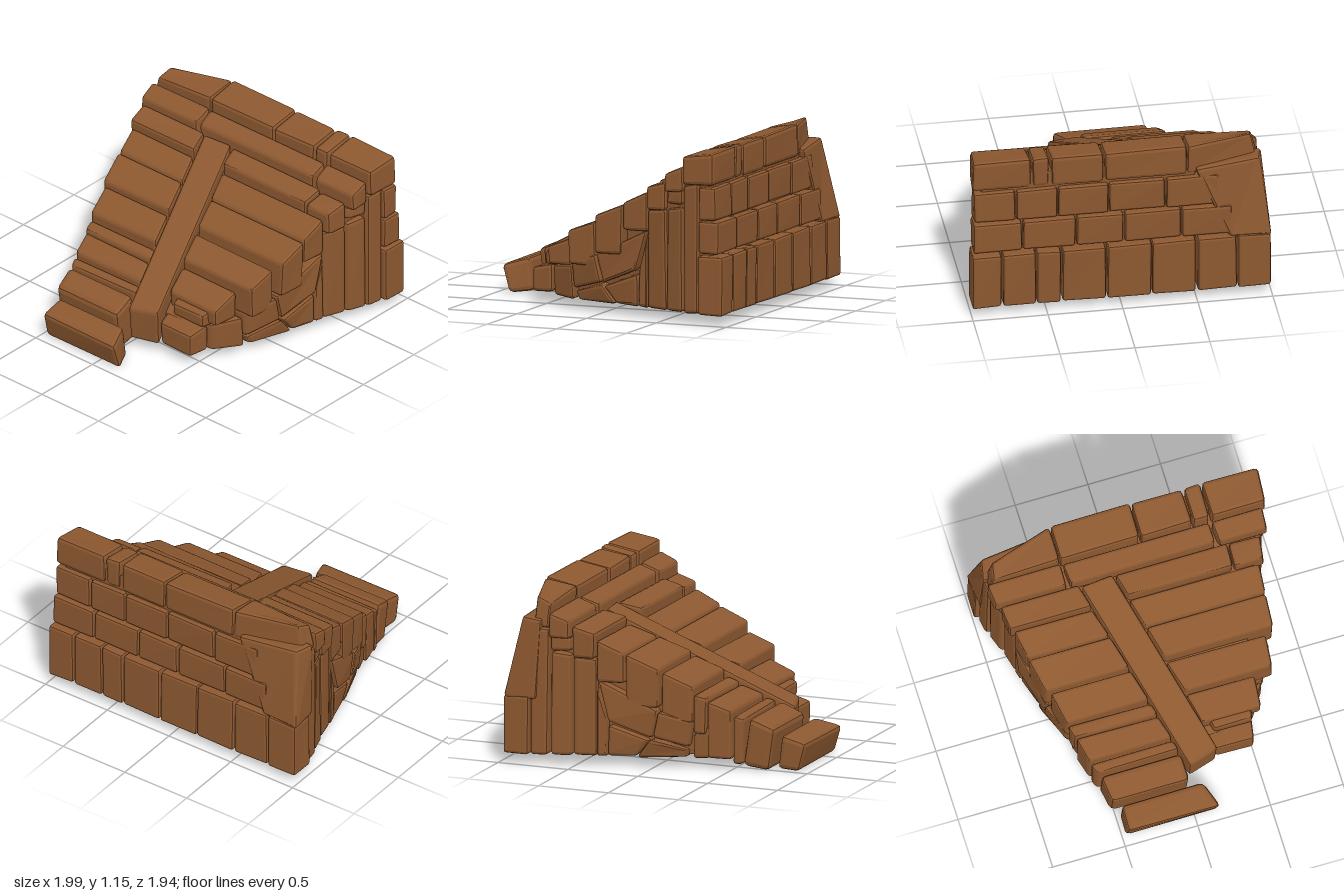
import * as THREE from 'three';
import { RoundedBoxGeometry } from 'three/addons/geometries/RoundedBoxGeometry.js';

// Half-plan outline of the stair mass: z, left x, right x
const OUTLINE = [
  [-0.97, -1, 1], [-0.66, -0.95, 0.95], [-0.5, -0.89, 0.89], [-0.36, -0.86, 0.84],
  [0, -0.77, 0.78], [0.25, -0.67, 0.68], [0.45, -0.6, 0.56], [0.6, -0.55, 0.5],
];
function edge(z, side) {
  let i = 0;
  while (i < OUTLINE.length - 2 && z > OUTLINE[i + 1][0]) i++;
  const a = OUTLINE[i], b = OUTLINE[i + 1];
  return THREE.MathUtils.mapLinear(z, a[0], b[0], a[side], b[side]);
}
const plankLeft = (z) => -0.35 + 0.339 * (z + 0.5);
const plankRight = (z) => -0.13 + 0.322 * (z + 0.5);

export function createModel() {
  const group = new THREE.Group();
  const brown = new THREE.MeshStandardMaterial({ color: 0x8c5830 });
  brown.name = 'brown stone';
  let seed = 7;
  const rand = () => (seed = (seed * 16807) % 2147483647) / 2147483647;

  // Bevelled stone stretched over eight corners, ordered x fastest, then y, then z
  function hexStone(name, corners, bevel = 0.022, wobble = 0.006) {
    const c = corners.map((p) => new THREE.Vector3(...p.map((v) => v + (rand() - 0.5) * 2 * wobble)));
    const size = [1, 2, 4].map((bit) => {
      let sum = 0;
      for (let i = 0; i < 8; i++) if (!(i & bit)) sum += c[i].distanceTo(c[i | bit]) / 4;
      return sum;
    });
    const geo = new RoundedBoxGeometry(...size, 1, Math.min(bevel, Math.min(...size) * 0.3));
    const pos = geo.attributes.position, out = new THREE.Vector3();
    for (let i = 0; i < pos.count; i++) {
      const t = [pos.getX(i), pos.getY(i), pos.getZ(i)].map((v, k) => v / size[k] + 0.5);
      out.set(0, 0, 0);
      for (let k = 0; k < 8; k++) {
        const w = (k & 1 ? t[0] : 1 - t[0]) * (k & 2 ? t[1] : 1 - t[1]) * (k & 4 ? t[2] : 1 - t[2]);
        out.addScaledVector(c[k], w);
      }
      pos.setXYZ(i, out.x, Math.max(out.y, 0), out.z);
    }
    geo.computeVertexNormals();
    const mesh = new THREE.Mesh(geo, brown);
    mesh.name = name;
    group.add(mesh);
  }

  // Stone from a side profile (z, y): back bottom, front bottom, front top, back top
  function stone(name, [bl, br, fl, fr], [bb, fb, ft, bt], bevel, wobble) {
    hexStone(name, [
      [bl, bb[1], bb[0]], [br, bb[1], bb[0]], [bl, bt[1], bt[0]], [br, bt[1], bt[0]],
      [fl, fb[1], fb[0]], [fr, fb[1], fb[0]], [fl, ft[1], ft[0]], [fr, ft[1], ft[0]],
    ], bevel, wobble);
  }
  const rect = (z0, z1, y0, yb, yf) => [[z0, y0], [z1, y0], [z1, yf], [z0, yb]];

  // Row of stones across the full width, following the plan outline
  function course(name, profile, pieces, inset = 0.01) {
    const zs = profile.map((p) => p[0]);
    const z0 = Math.min(...zs), z1 = Math.max(...zs);
    const cuts = [0];
    for (let i = 1; i < pieces; i++) cuts.push((i + (rand() - 0.5) * 0.4) / pieces);
    cuts.push(1);
    const at = (z, t) => THREE.MathUtils.lerp(edge(z, 1) + inset, edge(z, 2) - inset, t);
    for (let i = 0; i < pieces; i++) {
      const a = cuts[i] + (i ? 0.004 : 0), b = cuts[i + 1] - (i < pieces - 1 ? 0.004 : 0);
      stone(name, [at(z0, a), at(z0, b), at(z1, a), at(z1, b)], profile);
    }
  }

  // Solid core closing the joints
  stone('core', [-0.88, 0.93, -0.8, 0.8], rect(-0.76, -0.36, 0.1, 1.0, 0.8), 0.01, 0);
  stone('core', [-0.5, 0.93, -0.5, 0.93], rect(-0.88, -0.74, 0.1, 1.05, 1.05), 0.01, 0);
  stone('core', [-0.81, 0.79, -0.54, 0.46], rect(-0.37, 0.5, 0.1, 0.8, 0.27), 0.01, 0);

  // Upright base columns under the upper steps
  course('baseColumn', rect(-0.785, -0.665, 0.08, 0.95, 0.93), 6, 0);
  course('baseColumn', rect(-0.655, -0.525, 0.08, 0.78, 0.76), 5);
  course('baseColumn', rect(-0.515, -0.365, 0.08, 0.75, 0.73), 6);
  course('sideStone', rect(-0.655, -0.525, 0.79, 0.9, 0.88), 1);

  // Leaning base stones under the lower steps
  course('baseStone', [[-0.355, 0.08], [-0.295, 0.08], [-0.295, 0.32], [-0.355, 0.56]], 5);
  course('baseStone', [[-0.285, 0.08], [-0.12, 0.08], [-0.02, 0.2], [-0.285, 0.3]], 4);
  course('baseStone', [[-0.11, 0.08], [0.2, 0.08], [0.22, 0.14], [0, 0.21]], 5, 0.02);
  course('baseStone', [[-0.28, 0.32], [-0.01, 0.22], [0.03, 0.4], [-0.35, 0.6]], 1, 0.0);
  course('baseStone', [[0, 0.22], [0.23, 0.15], [0.25, 0.34], [0.04, 0.4]], 1, 0.0);
  course('baseStone', [[0.24, 0.08], [0.43, 0.08], [0.44, 0.28], [0.26, 0.31]], 3, 0.02);

  // Left steps: outer back x, outer front x, back z, front z, bottom y, back y, front y
  [
    [-0.9, -0.88, -0.52, -0.365, 0.74, 0.96, 0.92],
    [-0.86, -0.82, -0.355, -0.18, 0.58, 0.87, 0.79],
    [-0.81, -0.76, -0.17, 0.04, 0.42, 0.78, 0.69],
    [-0.73, -0.68, 0.05, 0.25, 0.32, 0.66, 0.57],
    [-0.67, -0.65, 0.26, 0.335, 0.25, 0.52, 0.49],
    [-0.64, -0.6, 0.345, 0.495, 0.08, 0.47, 0.41],
    [-0.59, -0.57, 0.505, 0.57, 0.05, 0.38, 0.36],
  ].forEach(([xb, xf, z0, z1, y0, yb, yf]) => stone('leftStep',
    [xb, plankLeft(z0) - 0.01, xf, plankLeft(z1) - 0.01], rect(z0, z1, y0, yb, yf)));

  // Right steps, in the same order of values
  [
    [0.66, 0.65, -0.52, -0.365, 0.74, 0.95, 0.91],
    [0.83, 0.82, -0.355, -0.18, 0.58, 0.85, 0.76],
    [0.82, 0.81, -0.17, 0.03, 0.42, 0.75, 0.67],
    [0.75, 0.74, 0.05, 0.25, 0.32, 0.62, 0.55],
    [0.61, 0.6, 0.26, 0.45, 0.29, 0.49, 0.41],
    [0.53, 0.51, 0.455, 0.6, 0.09, 0.28, 0.25],
  ].forEach(([xb, xf, z0, z1, y0, yb, yf]) => stone('rightStep',
    [plankRight(z0) + 0.02, xb, plankRight(z1) + 0.02, xf], rect(z0, z1, y0, yb, yf)));
  stone('rightStep', [0.67, 0.89, 0.66, 0.87], rect(-0.52, -0.365, 0.74, 0.93, 0.89));
  stone('rightStep', [0.24, 0.54, 0.26, 0.53], rect(0.4, 0.5, 0.28, 0.39, 0.37));

  // Two lowest treads, tipped forward
  stone('lowTread', [-0.55, 0.0, -0.52, 0.02], [[0.56, 0.03], [0.73, 0.005], [0.77, 0.29], [0.6, 0.37]], 0.035);
  stone('bottomTread', [-0.47, 0.1, -0.47, 0.17], [[0.77, 0.02], [0.92, 0.005], [0.97, 0.2], [0.8, 0.25]], 0.03);

  // Smooth ramp plank running diagonally down the steps
  hexStone('rampPlank', [
    [-0.35, 0.75, -0.5], [-0.13, 0.75, -0.52], [-0.35, 0.96, -0.5], [-0.13, 0.96, -0.52],
    [0.04, 0.08, 0.67], [0.24, 0.08, 0.61], [0.04, 0.32, 0.69], [0.25, 0.34, 0.63],
  ], 0.02, 0);

  // Upper landing course
  [[-0.95, -0.44], [-0.43, 0.58], [0.59, 0.94]].forEach(([a, b]) =>
    stone('landingStone', [a, b, a + 0.02, b], rect(-0.66, -0.525, 0.88, 1.05, 1.0)));

  // Crowning course
  [[-0.44, 0.1], [0.11, 0.46], [0.475, 0.585], [0.6, 0.99]].forEach(([a, b]) =>
    stone('crownStone', [a, b, a, b - (b > 0.9 ? 0.02 : 0)], rect(-0.9, -0.665, 0.94, 1.16, 1.12), 0.025));
  hexStone('crownStone', [
    [-0.92, 0.94, -0.78], [-0.45, 0.94, -0.9], [-0.88, 1.14, -0.77], [-0.45, 1.16, -0.9],
    [-0.95, 0.94, -0.66], [-0.45, 0.94, -0.665], [-0.9, 1.1, -0.665], [-0.45, 1.12, -0.665],
  ]);

  // Back wall: wide foot course, then two brick courses above
  function wallRow(cuts, z0, z1, y0, y1) {
    for (let i = 0; i < cuts.length - 1; i++) {
      const a = cuts[i] + 0.005, b = cuts[i + 1] - 0.005;
      stone('backBrick', [a, b, a, b], rect(z0, z1, y0, y1, y1), 0.018, 0.004);
    }
  }
  wallRow([-1, -0.77, -0.5, -0.2, 0.1, 0.4, 0.57, 0.8, 1], -0.968, -0.79, 0.08, 0.475);
  wallRow([-0.74, -0.4, -0.02, 0.3, 0.66, 0.99], -0.935, -0.79, 0.485, 0.7);
  wallRow([-0.66, -0.3, 0.08, 0.42, 0.7, 0.985], -0.915, -0.79, 0.71, 0.93);

  // Leaning corner buttress at the broken back corner
  hexStone('cornerButtress', [
    [-1, 0.46, -0.97], [-0.72, 0.46, -0.95], [-0.93, 1.0, -0.85], [-0.5, 0.98, -0.91],
    [-0.98, 0.46, -0.74], [-0.72, 0.46, -0.74], [-0.96, 1.0, -0.71], [-0.5, 1.0, -0.74],
  ]);

  return group;
}
